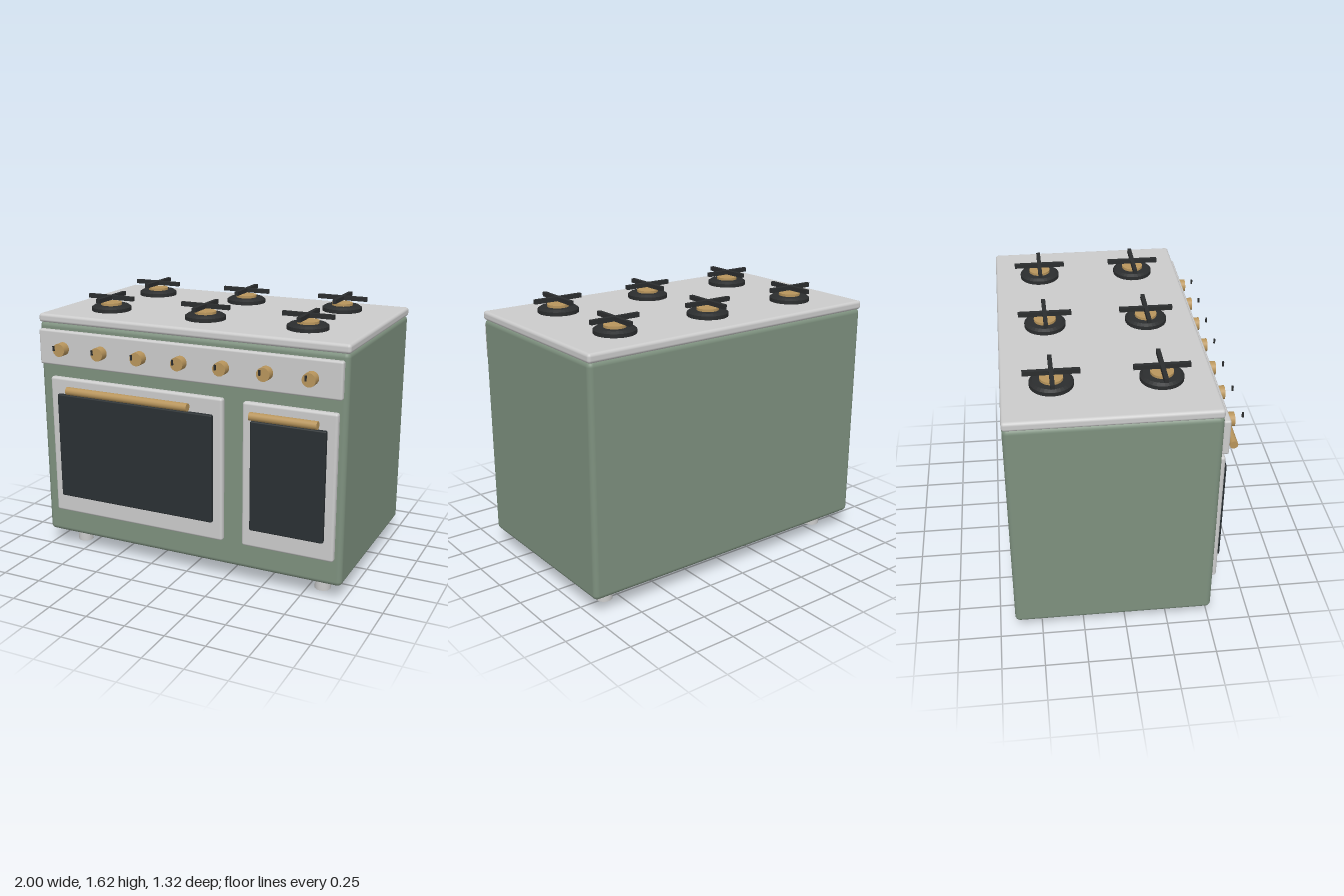
import * as THREE from 'three';
import { RoundedBoxGeometry } from 'three/addons/geometries/RoundedBoxGeometry.js';

export function createModel() {
  const model = new THREE.Group();
  model.name = 'rangeCooker';

  const mat = (color) => new THREE.MeshStandardMaterial({ color });
  const green = mat(0x7d907e);
  const steel = mat(0xcccccc);
  const brass = mat(0xb8955c);
  const iron = mat(0x2b2d2e);
  const glass = mat(0x2a3033);

  const add = (parent, name, geometry, material, x, y, z) => {
    const mesh = new THREE.Mesh(geometry, material);
    mesh.name = name;
    mesh.position.set(x, y, z);
    parent.add(mesh);
    return mesh;
  };

  // Rounded box given by its extents on each axis
  const slab = (parent, name, material, [x0, x1], [y0, y1], [z0, z1], radius) =>
    add(parent, name, new RoundedBoxGeometry(x1 - x0, y1 - y0, z1 - z0, 4, radius), material,
      (x0 + x1) / 2, (y0 + y1) / 2, (z0 + z1) / 2);

  // Cabinet, worktop and control panel
  slab(model, 'body', green, [-0.997, 0.997], [0.105, 1.485], [-0.658, 0.507], 0.03);
  slab(model, 'cooktop', steel, [-1, 1], [1.478, 1.532], [-0.66, 0.507], 0.018);
  slab(model, 'controlPanel', steel, [-0.975, 0.975], [1.228, 1.445], [0.505, 0.546], 0.012);

  // Feet
  for (const x of [-0.833, 0.833]) {
    for (const z of [-0.49, 0.343]) {
      add(model, 'foot', new THREE.CylinderGeometry(0.048, 0.048, 0.13, 24), steel, x, 0.065, z);
    }
  }

  // Oven doors with window and bar handle
  const addDoor = (name, frame, pane, bar) => {
    const door = new THREE.Group();
    door.name = name;
    slab(door, 'doorFrame', steel, frame, [0.272, 1.153], [0.505, 0.549], 0.015);
    slab(door, 'window', glass, pane, [0.388, 1.053], [0.533, 0.573], 0.008);
    const handle = add(door, 'handle', new THREE.CylinderGeometry(0.024, 0.024, bar[1] - bar[0], 24),
      brass, (bar[0] + bar[1]) / 2, 1.104, 0.635);
    handle.rotation.z = Math.PI / 2;
    model.add(door);
  };
  addDoor('mainOvenDoor', [-0.904, 0.264], [-0.845, 0.206], [-0.727, 0.088]);
  addDoor('sideOvenDoor', [0.39, 0.957], [0.448, 0.9], [0.474, 0.874]);

  // Row of knobs with pointer marks
  for (let i = 0; i < 7; i++) {
    const x = (i - 3) * 0.267;
    const knob = add(model, 'knob', new THREE.CylinderGeometry(0.04, 0.04, 0.06, 28), brass, x, 1.338, 0.57);
    knob.rotation.x = Math.PI / 2;
    add(model, 'knobPointer', new THREE.BoxGeometry(0.01, 0.03, 0.01), iron, x, 1.361, 0.648);
  }

  // Burners: iron base, brass cap and crossed pan supports
  const baseProfile = [[0, 0], [0.122, 0], [0.122, 0.024], [0.104, 0.036], [0, 0.036]]
    .map(([r, y]) => new THREE.Vector2(r, y));
  const baseGeometry = new THREE.LatheGeometry(baseProfile, 32).toNonIndexed();
  baseGeometry.computeVertexNormals();
  for (const x of [-0.65, 0, 0.65]) {
    for (const z of [-0.38, 0.22]) {
      const burner = new THREE.Group();
      burner.name = 'burner';
      burner.position.set(x, 1.53, z);
      add(burner, 'burnerBase', baseGeometry, iron, 0, 0, 0);
      add(burner, 'burnerCap', new THREE.CylinderGeometry(0.065, 0.065, 0.03, 28), brass, 0, 0.036, 0);
      add(burner, 'supportBarX', new THREE.BoxGeometry(0.314, 0.026, 0.024), iron, 0, 0.081, 0);
      add(burner, 'supportBarZ', new THREE.BoxGeometry(0.024, 0.026, 0.314), iron, 0, 0.081, 0);
      model.add(burner);
    }
  }

  return model;
}
